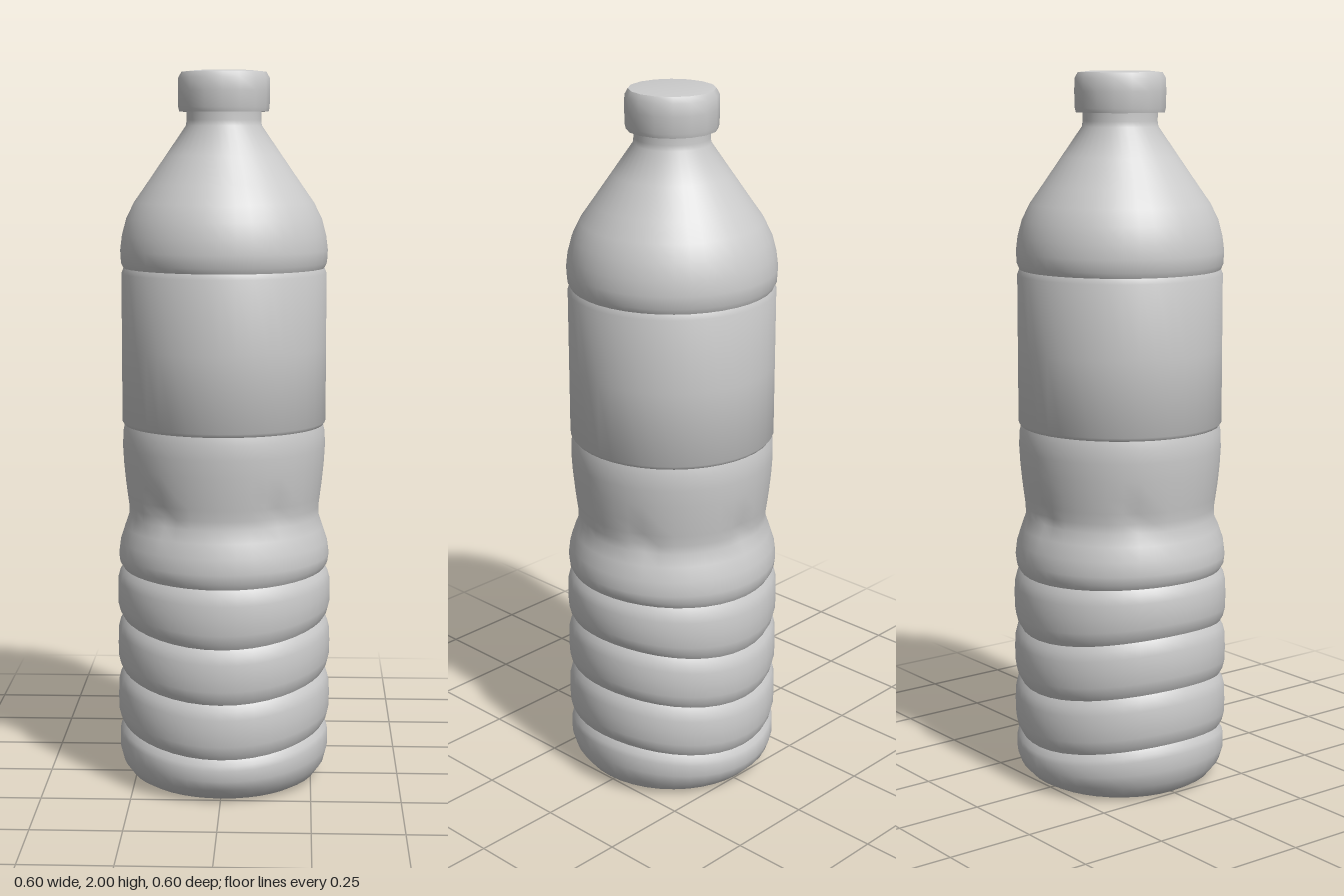
import * as THREE from 'three';
import { mergeVertices, toCreasedNormals } from 'three/addons/utils/BufferGeometryUtils.js';

const material = new THREE.MeshStandardMaterial({ color: 0xcccccc });

// Turns [radius, height] pairs into a lathe, optionally reshaped by a rule.
function turned(name, profile, segments, crease, reshape) {
  let geometry = new THREE.LatheGeometry(profile.map(([r, y]) => new THREE.Vector2(r, y)), segments);
  const pos = geometry.attributes.position;
  const v = new THREE.Vector3();
  if (reshape) {
    for (let i = 0; i < pos.count; i++) {
      reshape(v.fromBufferAttribute(pos, i));
      pos.setXYZ(i, v.x, v.y, v.z);
    }
  }
  geometry.deleteAttribute('uv');
  geometry.deleteAttribute('normal');
  geometry = toCreasedNormals(mergeVertices(geometry, 1e-5), crease);
  const mesh = new THREE.Mesh(geometry, material);
  mesh.name = name;
  return mesh;
}

// Wavy ribs in the lower half and five small dents around the waist.
const dentAngles = [36, 116, 180, 244, 324].map(THREE.MathUtils.degToRad);
function shapeBody(v) {
  const angle = Math.atan2(v.x, v.z);
  const y = v.y;
  const wave = THREE.MathUtils.smoothstep(y, 0, 0.13) * (1 - THREE.MathUtils.smoothstep(y, 0.42, 0.72));
  v.y -= 0.018 * wave * Math.cos(2 * angle);
  let dent = 0;
  for (const a of dentAngles) {
    const d = Math.atan2(Math.sin(angle - a), Math.cos(angle - a));
    dent += Math.exp(-((d / 0.1) ** 2) - ((y - 0.8) / 0.04) ** 2);
  }
  v.x *= 1 - 0.04 * dent;
  v.z *= 1 - 0.04 * dent;
}

export function createModel() {
  const bottle = new THREE.Group();
  bottle.name = 'bottle';

  // Base, rounded up into the lowest rib
  const profile = [[0, 0.004], [0.12, 0.004], [0.235, 0], [0.262, 0.015], [0.287, 0.045], [0.298, 0.08], [0.298, 0.115]];
  // Ribs between the grooves
  const grooves = [0.145, 0.3, 0.455, 0.61];
  grooves.forEach((y, i) => {
    profile.push([0.295, y - 0.016], [0.286, y], [0.295, y + 0.016]);
    if (i < 3) profile.push([0.301, y + 0.04], [0.302, y + 0.077], [0.301, y + 0.115]);
  });
  // Narrowed waist
  profile.push([0.298, 0.65], [0.293, 0.69], [0.28, 0.73], [0.268, 0.765], [0.268, 0.79], [0.272, 0.82],
    [0.277, 0.86], [0.282, 0.91], [0.285, 0.96], [0.284, 1.0], [0.279, 1.022]);
  // Straight label panel
  profile.push([0.286, 1.032], [0.286, 1.24], [0.286, 1.445], [0.28, 1.46]);
  // Shoulder and neck
  profile.push([0.287, 1.475], [0.289, 1.51], [0.284, 1.55], [0.272, 1.595], [0.25, 1.64], [0.215, 1.69],
    [0.16, 1.77], [0.105, 1.85], [0.103, 1.865], [0.104, 1.9]);
  bottle.add(turned('body', profile, 40, 0.75, shapeBody));

  // Screw cap with a softened rim and an underside
  const cap = [[0.1, 1.888], [0.123, 1.888], [0.126, 1.9], [0.127, 1.945], [0.126, 1.98], [0.117, 1.996], [0.08, 2], [0, 2]];
  bottle.add(turned('cap', cap, 16, 0.8));

  return bottle;
}
